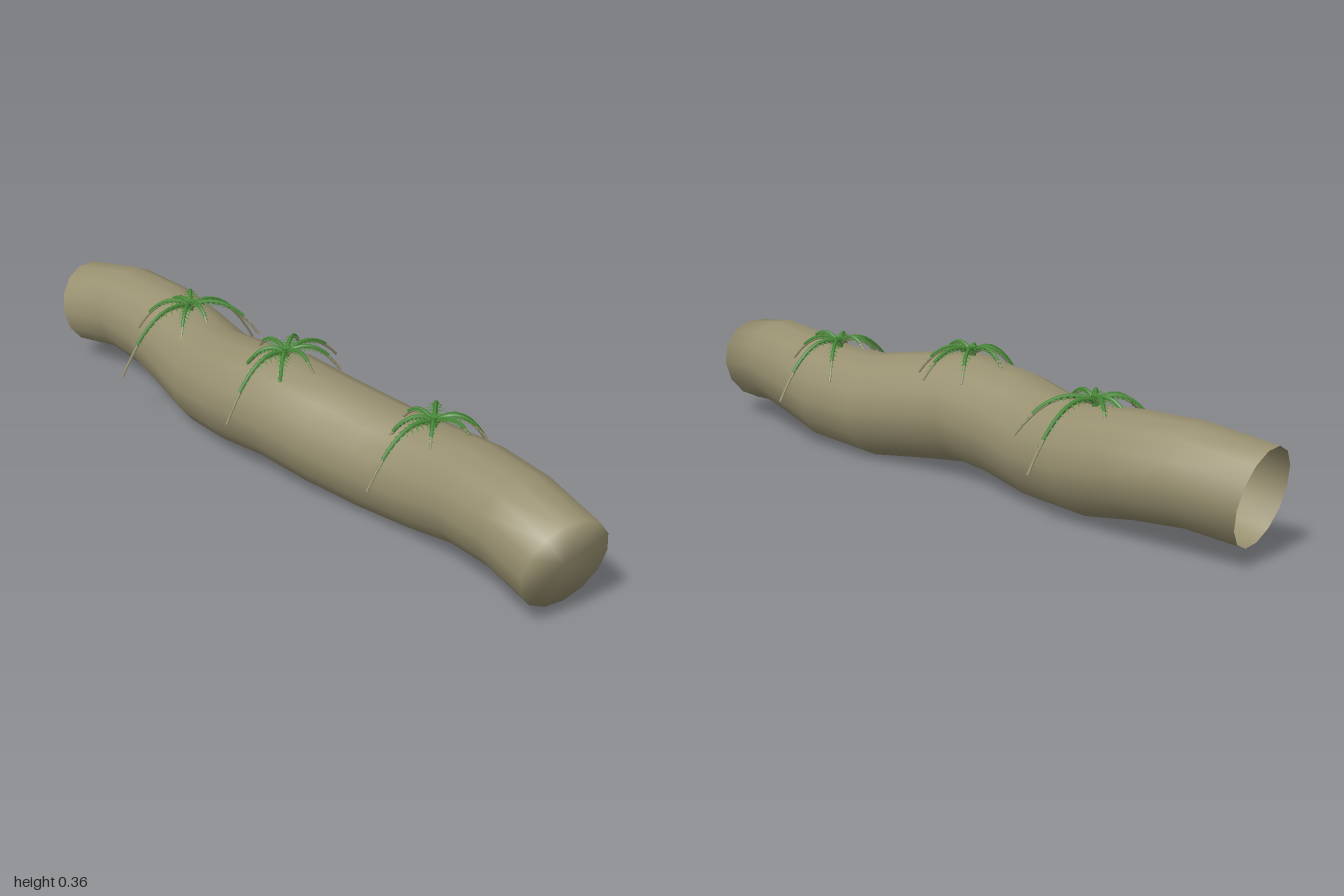
import * as THREE from 'three';
import { mergeGeometries } from 'three/addons/utils/BufferGeometryUtils.js';

const bark = new THREE.MeshStandardMaterial({ color: 0x989070, side: THREE.DoubleSide });
bark.name = 'bark';
const leaf = new THREE.MeshStandardMaterial({ color: 0x4a8b39, side: THREE.DoubleSide });
leaf.name = 'fernGreen';

const V = (x, y, z) => new THREE.Vector3(x, y, z);

// Log rings: x, centre y, centre z, radius
const RINGS = [
  [-0.977, 0.165, 0, 0.122], [-0.81, 0.187, -0.03, 0.126], [-0.65, 0.178, -0.037, 0.131],
  [-0.49, 0.153, -0.025, 0.137], [-0.32, 0.146, 0.012, 0.141], [-0.16, 0.168, 0.035, 0.144],
  [0, 0.186, 0.03, 0.147], [0.16, 0.168, 0.01, 0.146], [0.32, 0.147, -0.025, 0.143],
  [0.49, 0.153, -0.035, 0.138], [0.65, 0.178, -0.022, 0.13], [0.81, 0.187, 0.005, 0.125],
  [0.977, 0.165, 0.035, 0.122],
];

// Wavy log: open at its -x end, softly shaded cap at its +x end
function logGeometry(sides = 14) {
  const centres = RINGS.map(([x, y, z]) => V(x, y, z));
  const pos = [], index = [];
  const last = centres.length - 1;
  centres.forEach((c, i) => {
    const t = centres[Math.min(i + 1, last)].clone().sub(centres[Math.max(i - 1, 0)]).normalize();
    // the ends lean a little more than the chord to the next ring
    if (i === 0) t.set(1, 0.2, -0.18).normalize();
    if (i === last) t.set(1, -0.2, 0.17).normalize();
    const up = V(0, 1, 0).addScaledVector(t, -t.y).normalize();
    const side = t.clone().cross(up);
    for (let j = 0; j < sides; j++) {
      const a = ((j + 0.5) / sides) * Math.PI * 2;
      const p = c.clone()
        .addScaledVector(up, Math.cos(a) * RINGS[i][3])
        .addScaledVector(side, Math.sin(a) * RINGS[i][3]);
      pos.push(p.x, p.y, p.z);
      if (i < last) {
        const k = (j + 1) % sides;
        const a0 = i * sides + j, a1 = i * sides + k;
        index.push(a0, a1, a0 + sides, a1, a1 + sides, a0 + sides);
      }
    }
  });
  const hub = pos.length / 3;
  pos.push(...centres[last].toArray());
  for (let j = 0; j < sides; j++) {
    index.push(hub, last * sides + j, last * sides + ((j + 1) % sides));
  }
  const g = new THREE.BufferGeometry();
  g.setAttribute('position', new THREE.Float32BufferAttribute(pos, 3));
  g.setIndex(index);
  g.computeVertexNormals();
  return g;
}

// Pairs of pointed leaflets along a frond
function leafletGeometry(curve, length) {
  const pos = [];
  const pairs = 11;
  for (let i = 0; i < pairs; i++) {
    const u = 0.14 + (0.76 * i) / (pairs - 1);
    const c = curve.getPoint(u), t = curve.getTangent(u);
    const side = t.clone().cross(V(0, 1, 0)).normalize();
    const size = Math.min(0.032, length * 0.21) * (1.08 - u) * Math.min(1, 0.5 + u * 2);
    for (const s of [1, -1]) {
      const tip = c.clone().addScaledVector(side, s * size).addScaledVector(t, size * 0.35);
      tip.y -= size * 0.35;
      const a = c.clone().addScaledVector(t, -0.0045);
      const b = c.clone().addScaledVector(t, 0.0045);
      const tri = s > 0 ? [a, tip, b] : [a, b, tip];
      for (const p of tri) pos.push(p.x, p.y, p.z);
    }
  }
  const g = new THREE.BufferGeometry();
  g.setAttribute('position', new THREE.Float32BufferAttribute(pos, 3));
  g.computeVertexNormals();
  return g;
}

// Tapered rib following part of a curve
function ribGeometry(curve, from, to, r0, r1, drop = 0) {
  const n = 8, sides = 5;
  const pts = Array.from({ length: n + 1 }, (_, i) => curve.getPoint(from + ((to - from) * i) / n));
  const path = new THREE.CatmullRomCurve3(pts);
  const g = new THREE.TubeGeometry(path, n, 1, sides);
  const p = g.attributes.position;
  for (let i = 0; i <= n; i++) {
    const c = path.getPointAt(i / n);
    const r = r0 + ((r1 - r0) * i) / n;
    for (let j = 0; j <= sides; j++) {
      const k = i * (sides + 1) + j;
      const q = V(0, 0, 0).fromBufferAttribute(p, k).sub(c).multiplyScalar(r).add(c);
      p.setXYZ(k, q.x, q.y - drop, q.z);
    }
  }
  return g;
}

// Fern: a crown with arching fronds ending at the given tips
function createFern(name, crown, tips) {
  const fern = new THREE.Group();
  fern.name = name;
  const ribs = [], leaflets = [], stems = [];
  for (const [x, y, z] of tips) {
    const tip = V(x, y, z);
    const bend = crown.clone().lerp(tip, 0.5);
    bend.y = crown.y + 0.055;
    const curve = new THREE.QuadraticBezierCurve3(crown, bend, tip);
    const length = crown.distanceTo(tip);
    ribs.push(ribGeometry(curve, 0, 0.78, 0.0065, 0.0045));
    stems.push(ribGeometry(curve, 0, 1, 0.004, 0.0035, 0.004));
    leaflets.push(leafletGeometry(curve, length));
  }
  const add = (part, geometry, material) => {
    const m = new THREE.Mesh(geometry, material);
    m.name = part;
    fern.add(m);
    return m;
  };
  add('frondRibs', mergeGeometries(ribs), leaf);
  add('frondStems', mergeGeometries(stems), bark);
  add('leaflets', mergeGeometries(leaflets), leaf);
  add('crown', new THREE.CylinderGeometry(0.012, 0.008, 0.035, 7), leaf).position.copy(crown);
  return fern;
}

export function createModel() {
  const model = new THREE.Group();
  model.name = 'fernLog';

  const log = new THREE.Mesh(logGeometry(), bark);
  log.name = 'log';
  model.add(log);

  model.add(createFern('rightFern', V(-0.49, 0.298, -0.02), [
    [-0.47, 0.155, -0.228], [-0.5, 0.145, 0.215], [-0.36, 0.22, -0.165], [-0.6, 0.27, -0.1],
    [-0.625, 0.21, -0.01], [-0.595, 0.23, 0.09], [-0.39, 0.24, 0.09], [-0.375, 0.27, 0],
  ]));
  model.add(createFern('middleFern', V(0, 0.335, 0.03), [
    [0, 0.195, 0.228], [0.005, 0.29, -0.14], [-0.135, 0.3, 0.02], [0.115, 0.315, 0.03],
    [0.085, 0.29, -0.085], [-0.1, 0.29, -0.1], [-0.09, 0.25, 0.125], [0.085, 0.245, 0.125],
  ]));
  model.add(createFern('leftFern', V(0.48, 0.298, -0.04), [
    [0.515, 0.155, -0.228], [0.463, 0.175, 0.16], [0.355, 0.23, -0.175], [0.385, 0.28, -0.02],
    [0.4, 0.23, 0.06], [0.55, 0.27, 0.04], [0.595, 0.29, -0.06], [0.57, 0.26, -0.135],
  ]));
  return model;
}
